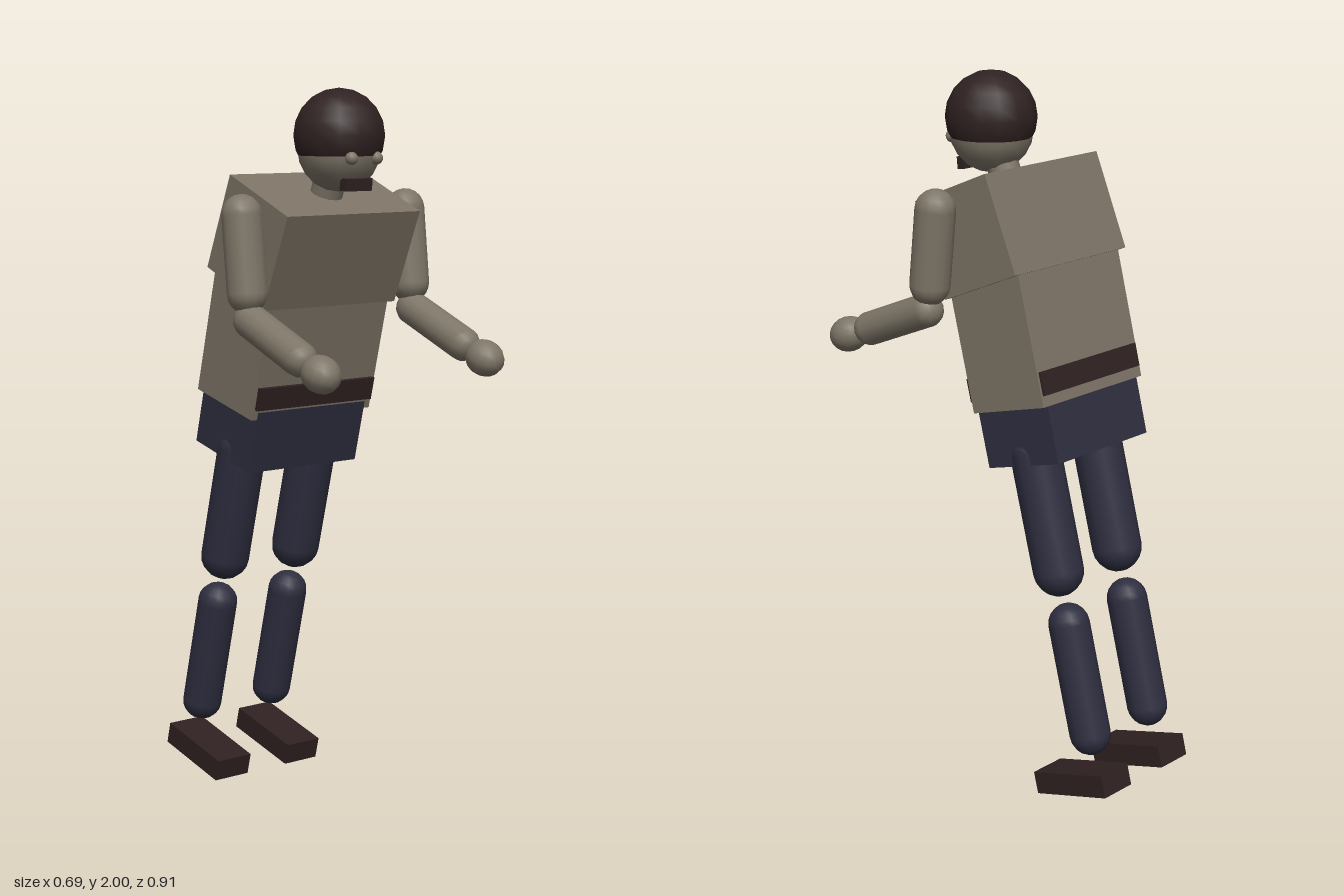
import * as THREE from 'three';

const mat = (name, color) => {
  const m = new THREE.MeshStandardMaterial({ color });
  m.name = name;
  return m;
};

export function createModel() {
  const model = new THREE.Group();
  model.name = 'leaningFigure';

  const skin = mat('skin', 0x7d7567);
  const shirt = mat('shirt', 0x7c7365);
  const trousers = mat('trousers', 0x2e2e40);
  const dark = mat('darkBrown', 0x2f2121);
  const LEAN = 0.248;

  const add = (name, geo, material, x, y, z, rx = 0) => {
    const m = new THREE.Mesh(geo, material);
    m.name = name;
    m.position.set(x, y, z);
    m.rotation.x = rx;
    model.add(m);
    return m;
  };
  const box = (name, material, size, x, y, z, rx) =>
    add(name, new THREE.BoxGeometry(...size), material, x, y, z, rx);
  const ball = (name, material, r, x, y, z, rx) =>
    add(name, new THREE.SphereGeometry(r, 14, 10), material, x, y, z, rx);

  // Capsule between two sphere centres given as [y, z], at one x
  const limb = (name, material, r, x, top, bottom) => {
    const dy = top[0] - bottom[0], dz = top[1] - bottom[1];
    return add(name, new THREE.CapsuleGeometry(r, Math.hypot(dy, dz), 5, 14), material,
      x, (top[0] + bottom[0]) / 2, (top[1] + bottom[1]) / 2, Math.atan2(dz, dy));
  };

  // Torso, leaning forward with the chest bent further
  box('chest', shirt, [0.47, 0.28, 0.274], 0, 1.584, 0.01, 0.392);
  box('abdomen', shirt, [0.426, 0.385, 0.257], 0, 1.309, -0.078, LEAN);
  box('belt', dark, [0.412, 0.065, 0.274], 0, 1.183, -0.108, LEAN);
  box('hips', trousers, [0.386, 0.18, 0.256], 0, 1.055, -0.141, LEAN);

  // Head, with a larger hair ball covering its upper part
  add('neck', new THREE.CylinderGeometry(0.046, 0.046, 0.13, 12), skin, 0, 1.735, 0.075, 0.35);
  ball('head', skin, 0.117, 0, 1.836, 0.12);
  ball('hair', dark, 0.128, 0, 1.872, 0.12);
  box('moustache', dark, [0.094, 0.034, 0.025], 0, 1.741, 0.193, 0.1);

  // Mirrored parts
  for (const s of [1, -1]) {
    const side = s > 0 ? 'left' : 'right';
    ball(side + 'Eye', skin, 0.018, s * 0.044, 1.812, 0.226);

    limb(side + 'UpperArm', skin, 0.056, s * 0.291, [1.663, 0.063], [1.453, 0.086]);
    limb(side + 'Forearm', skin, 0.048, s * 0.291, [1.381, 0.1], [1.296, 0.312]);
    ball(side + 'Hand', skin, 0.052, s * 0.291, 1.265, 0.399, 0.37).scale.set(1, 0.96, 1.14);

    limb(side + 'Thigh', trousers, 0.071, s * 0.13, [0.99, -0.152], [0.664, -0.236]);
    limb(side + 'Shin', trousers, 0.058, s * 0.13, [0.518, -0.275], [0.207, -0.354]);
    box(side + 'Shoe', dark, [0.117, 0.063, 0.25], s * 0.129, 0.063, -0.326, LEAN);
  }
  return model;
}
